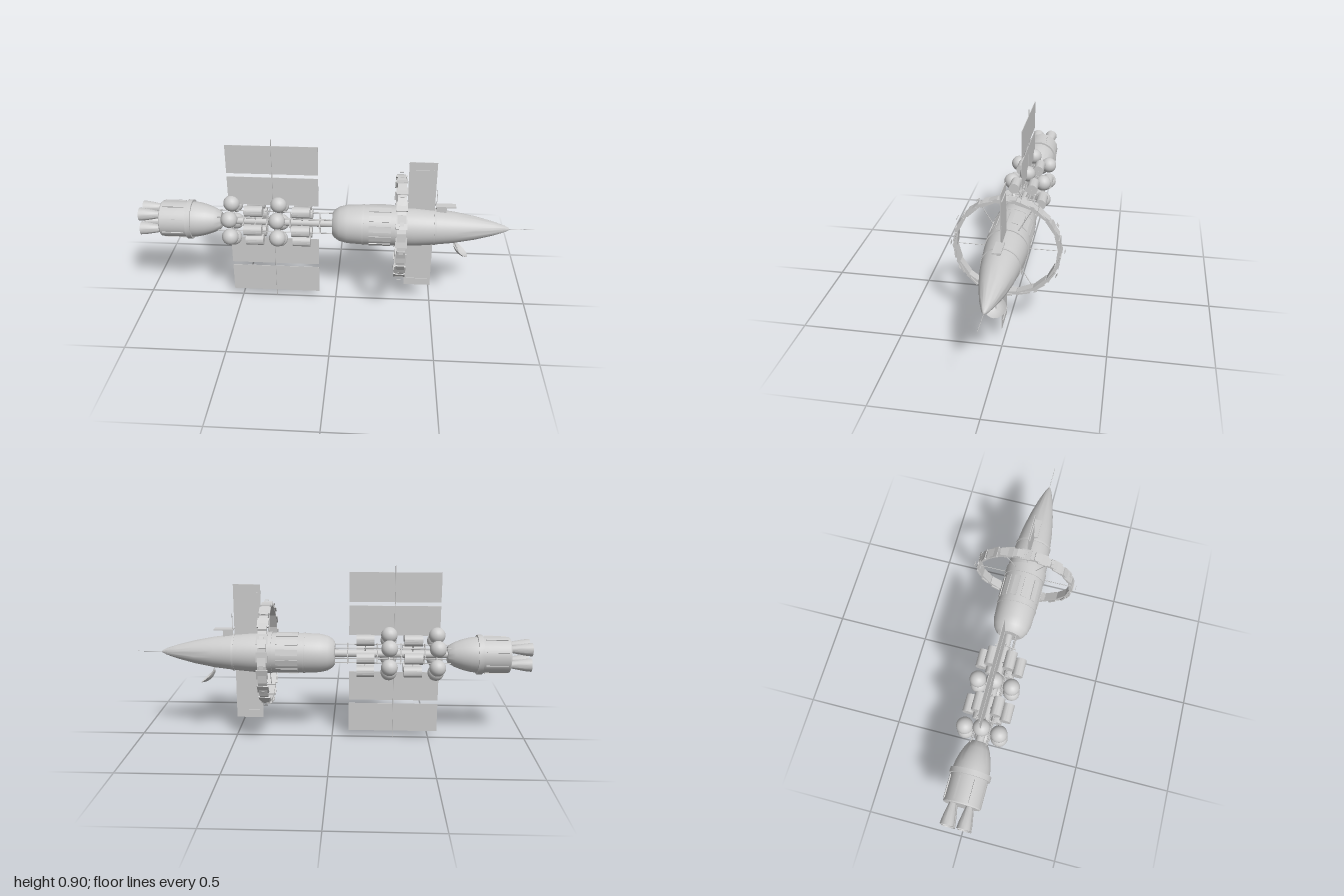
import * as THREE from 'three';
import { toCreasedNormals } from 'three/addons/utils/BufferGeometryUtils.js';

export function createModel() {
  const model = new THREE.Group();
  model.name = 'spaceship';
  const ship = new THREE.Group();
  ship.name = 'shipAxis';
  ship.position.y = 0.452;
  model.add(ship);

  const grey = new THREE.MeshStandardMaterial({ color: 0xcccccc, side: THREE.DoubleSide });
  grey.name = 'hull grey';

  const add = (name, geometry, x = 0, y = 0, z = 0, parent = ship) => {
    const mesh = new THREE.Mesh(geometry, grey);
    mesh.name = name;
    mesh.position.set(x, y, z);
    parent.add(mesh);
    return mesh;
  };
  const box = (name, w, h, d, x, y, z, parent) => add(name, new THREE.BoxGeometry(w, h, d), x, y, z, parent);
  // Profile of [x, radius] pairs turned about the x axis
  const turned = (name, profile, sides = 32, x = 0, y = 0, z = 0) => {
    const pts = profile.map(([px, r]) => new THREE.Vector2(r, px));
    const g = new THREE.LatheGeometry(pts, sides).rotateZ(-Math.PI / 2);
    return add(name, toCreasedNormals(g, 0.5), x, y, z);
  };
  // Thin round bar between two points
  const rod = (name, a, b, r, sides = 6) => {
    const from = new THREE.Vector3(...a), to = new THREE.Vector3(...b);
    const mesh = add(name, new THREE.CylinderGeometry(r, r, from.distanceTo(to), sides));
    mesh.position.copy(from).add(to).multiplyScalar(0.5);
    mesh.quaternion.setFromUnitVectors(new THREE.Vector3(0, 1, 0), to.sub(from).normalize());
    return mesh;
  };
  const band = (name, x, width, r) =>
    turned(name, [[x - width / 2, r - 0.012], [x - width / 2, r], [x + width / 2, r], [x + width / 2, r - 0.012]]);

  // Forward hull with pointed nose
  turned('forwardHull', [
    [-0.015, 0.001], [-0.015, 0.058], [-0.005, 0.072], [0.02, 0.088], [0.06, 0.098], [0.14, 0.102],
    [0.3, 0.102], [0.4, 0.1], [0.5, 0.091], [0.6, 0.079], [0.7, 0.06], [0.79, 0.037],
    [0.85, 0.017], [0.872, 0.006], [0.875, 0.0005],
  ], 40);
  band('hullBand', 0.14, 0.01, 0.104);
  band('hullBand', 0.328, 0.05, 0.106);
  band('hullBand', 0.5, 0.01, 0.094);
  rod('noseAntenna', [0.87, 0, 0], [1, 0, 0], 0.0012);

  // Raised panels around the forward hull
  for (let i = 0; i < 12; i++) {
    const a = ((i + 0.5) / 12) * Math.PI * 2;
    const plate = box('hullPanel', 0.11, 0.006, 0.03, 0.225, Math.cos(a) * 0.102, Math.sin(a) * 0.102);
    plate.rotation.x = a;
  }

  // Dorsal sensor plate and aerial
  box('sensorPlate', 0.1, 0.006, 0.04, 0.55, 0.12, 0);
  box('sensorFoot', 0.05, 0.045, 0.016, 0.53, 0.1, 0);
  rod('aerial', [0.505, 0.09, -0.008], [0.505, 0.203, -0.008], 0.0015);

  // Dish slung below the nose
  const dishProfile = [[0.0005, -0.016], [0.02, -0.013], [0.037, -0.006], [0.05, 0.004]]
    .map(([r, h]) => new THREE.Vector2(r, h));
  const dish = add('dishAntenna', new THREE.LatheGeometry(dishProfile, 20), 0.638, -0.133, 0);
  dish.rotation.z = -0.7;
  rod('dishStrut', [0.632, -0.142, 0], [0.6, -0.07, 0], 0.003);

  // Habitat ring of faceted modules, with spokes
  const ringX = 0.328, modules = 18;
  for (let i = 0; i < modules; i++) {
    const a = (i / modules) * Math.PI * 2;
    const module = new THREE.Group();
    module.name = 'ringModule';
    module.position.x = ringX;
    module.rotation.x = a;
    ship.add(module);
    box('ringSegment', 0.042, 0.017, 0.09, 0, 0.246, 0, module).rotation.x = 0.06;
    const cover = box('ringCover', 0.056, 0.008, 0.05, 0, 0.251, 0, module);
    cover.rotation.x = -0.1;
  }
  for (let i = 0; i < 6; i++) {
    const a = (i / 6) * Math.PI * 2 + Math.PI / 2;
    rod('ringSpoke', [ringX, Math.cos(a) * 0.09, Math.sin(a) * 0.09],
      [ringX, Math.cos(a) * 0.245, Math.sin(a) * 0.245], 0.002);
  }
  for (let i = 0; i < 12; i++) {
    const a = (i / 12) * Math.PI * 2;
    const plate = box('ringOuterPlate', 0.02, 0.002, 0.018, ringX, Math.cos(a) * 0.272, Math.sin(a) * 0.272);
    plate.rotation.x = a;
  }

  // Forward radiators and aft solar panels, mirrored above and below
  for (const s of [1, -1]) {
    box('radiator', 0.137, 0.27, 0.003, 0.428, s * 0.217, 0);
    box('radiatorRib', 0.11, 0.002, 0.012, 0.428, s * 0.312, 0);
    box('solarPanel', 0.458, 0.152, 0.003, -0.316, s * 0.172, 0);
    box('solarPanel', 0.458, 0.15, 0.003, -0.316, s * 0.342, 0);
    rod('solarMast', [-0.316, 0, 0], [-0.316, s * 0.452, 0], 0.0025);
  }

  // Spine and truss rods
  rod('spine', [-0.6, 0, 0], [-0.01, 0, 0], 0.02, 16);
  for (const y of [1, -1]) for (const z of [1, -1]) {
    rod('trussRod', [-0.6, y * 0.038, z * 0.038], [-0.01, y * 0.038, z * 0.038], 0.003);
  }
  for (const x of [-0.47, -0.35, -0.23, -0.08]) {
    box('trussFrame', 0.006, 0.11, 0.006, x, 0, 0);
    box('trussFrame', 0.006, 0.006, 0.11, x, 0, 0);
    box('trussFrame', 0.005, 0.08, 0.08, x, 0, 0).scale.set(1, 0.6, 0.6);
  }

  // Tanks: rings of six spheres alternating with rings of six cylinders
  const ballGeometry = new THREE.SphereGeometry(0.042, 20, 14);
  for (let i = 0; i < 6; i++) {
    const a = (i / 6) * Math.PI * 2, b = a + Math.PI / 6;
    for (const x of [-0.53, -0.29]) {
      const y = Math.cos(a) * 0.098, z = Math.sin(a) * 0.098;
      add('sphereTank', ballGeometry, x, y, z);
      rod('tankStrut', [x, 0, 0], [x, y, z], 0.004);
    }
    for (const x of [-0.41, -0.17]) {
      const y = Math.cos(b) * 0.094, z = Math.sin(b) * 0.094;
      turned('cylinderTank', [[-0.045, 0.001], [-0.045, 0.028], [0.045, 0.028], [0.045, 0.001]], 18, x, y, z);
      rod('tankStrut', [x, 0, 0], [x, y, z], 0.004);
    }
  }

  // Engine hull
  turned('engineHull', [
    [-0.895, 0.001], [-0.895, 0.088], [-0.89, 0.092], [-0.74, 0.092], [-0.7, 0.088], [-0.66, 0.078],
    [-0.62, 0.063], [-0.59, 0.046], [-0.585, 0.04], [-0.585, 0.001],
  ], 36);
  band('engineBand', -0.745, 0.026, 0.101);
  for (let i = 0; i < 8; i++) {
    const a = ((i + 0.5) / 8) * Math.PI * 2;
    const rib = box('engineRib', 0.11, 0.008, 0.006, -0.825, Math.cos(a) * 0.093, Math.sin(a) * 0.093);
    rib.rotation.x = a;
  }

  // Four open engine bells
  for (const y of [1, -1]) for (const z of [1, -1]) {
    turned('engineBell', [[-1, 0.034], [-0.97, 0.031], [-0.93, 0.024], [-0.89, 0.016]], 20, 0, y * 0.04, z * 0.04);
  }

  return model;
}
